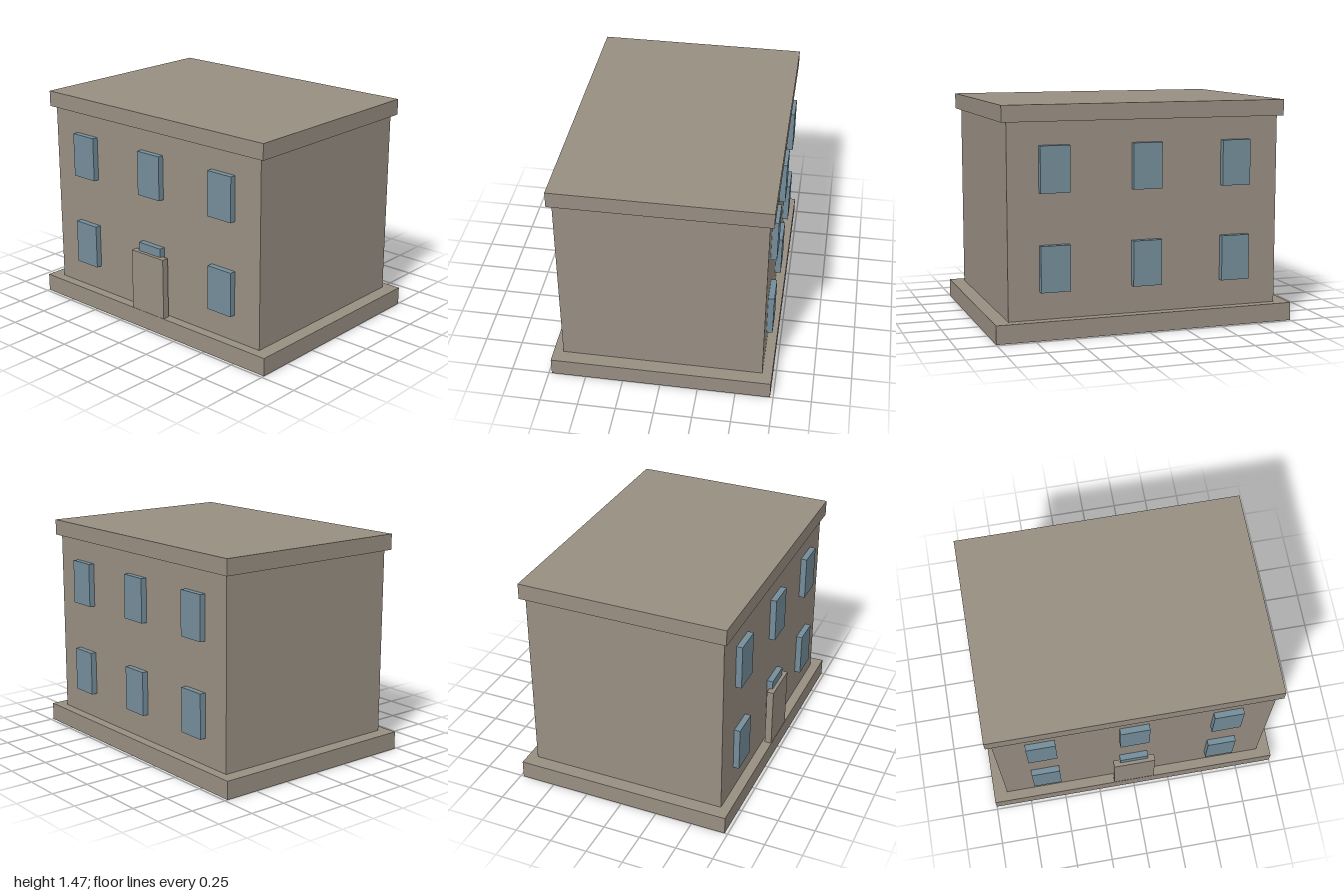
import * as THREE from 'three';

export function createModel() {
  const stone = new THREE.MeshStandardMaterial({ color: 0x988e82 });
  stone.name = 'stone';
  const glass = new THREE.MeshStandardMaterial({ color: 0x748d9a });
  glass.name = 'glass';

  const house = new THREE.Group();
  house.name = 'house';

  // Box spanning y0..y1, centred on x and z
  function block(name, material, width, depth, y0, y1, x = 0, z = 0) {
    const mesh = new THREE.Mesh(new THREE.BoxGeometry(width, y1 - y0, depth), material);
    mesh.position.set(x, (y0 + y1) / 2, z);
    mesh.name = name;
    house.add(mesh);
  }

  // Main masses
  block('foundation', stone, 2, 1.46, 0, 0.12);
  block('walls', stone, 1.814, 1.33, 0.12, 1.362);
  block('roof', stone, 1.886, 1.384, 1.362, 1.467);

  // Door slab standing just clear of the front wall
  block('door', stone, 0.284, 0.046, 0.12, 0.533, 0, 0.705);

  // Two rows of three windows, front and back
  for (const [side, z] of [['front', 0.685], ['back', -0.685]]) {
    for (const [floor, y0] of [['Lower', 0.297], ['Upper', 0.92]]) {
      for (const x of [-0.608, 0, 0.608]) {
        block(`${side}${floor}Window`, glass, 0.192, 0.04, y0, y0 + 0.295, x, z);
      }
    }
  }
  return house;
}
